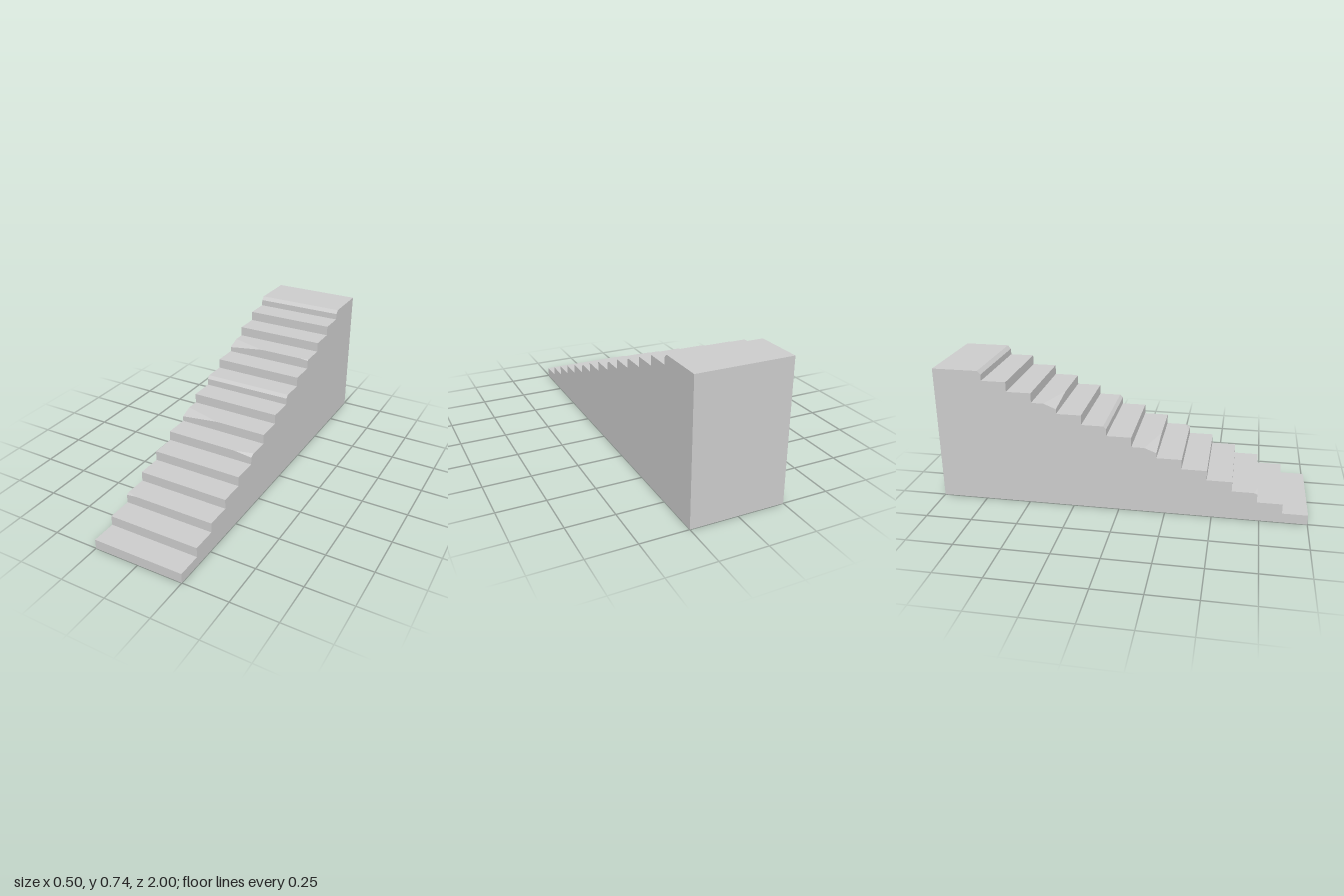
import * as THREE from 'three';

const STEPS = 14, RISE = 0.7444 / STEPS, RUN = 2 / 15, HALF = 0.25;

// Worn front edges: stations along x as [x, depth back, drop down]
const fullBevel = (dz, dy) => [[-HALF, dz, dy], [HALF, dz, dy]];
const worn = {
  2: [[-HALF, 0.018, 0.007], [-0.19, 0, 0], [HALF, 0, 0]],
  5: [[-HALF, 0, 0], [0.15, 0, 0], [HALF, 0.025, 0.012]],
  6: [[-HALF, 0.065, 0.025], [-0.03, 0, 0], [HALF, 0, 0]],
  8: fullBevel(0.016, 0.016),
  10: [[-HALF, 0.067, 0.027], [-0.04, 0, 0], [0.2, 0, 0], [HALF, 0.012, 0.005]],
  13: fullBevel(0.018, 0.019),
};

// One step: a column from the ground to its tread, lofted along x, without hidden inner walls
function stepGeometry(i) {
  const front = 1 - i * RUN;
  const last = i === STEPS - 1;
  const back = last ? -1 : front - RUN;
  const top = (i + 1) * RISE;
  const pos = [];
  const tri = (...pts) => pts.forEach((p) => pos.push(p.x, p.y, p.z));
  const sections = (worn[i] || fullBevel(0, 0)).map(([x, dz, dy]) => [
    [0, front], [i * RISE, front], [top - dy, front], [top, front - dz], [top, back], [0, back],
  ].map(([y, z]) => new THREE.Vector3(x, y, z)));

  // riser, bevel, tread, back wall (last step only) and underside
  const strips = last ? [1, 2, 3, 4, 5] : [1, 2, 3, 5];
  for (let s = 0; s < sections.length - 1; s++) {
    const a = sections[s], b = sections[s + 1];
    for (const k of strips) {
      const n = (k + 1) % 6;
      if (a[k].distanceTo(a[n]) > 1e-6) tri(a[k], b[n], a[n]);
      if (b[k].distanceTo(b[n]) > 1e-6) tri(a[k], b[k], b[n]);
    }
  }

  // flat side walls
  const l = sections[0], r = sections[sections.length - 1];
  for (let k = 1; k < 5; k++) {
    // fan from the back bottom corner
    if (k < 4 || l[4].y > 0) {
      const m = k - 1;
      tri(l[5], l[m], l[m + 1]);
      tri(r[5], r[m + 1], r[m]);
    }
  }

  const geo = new THREE.BufferGeometry();
  geo.setAttribute('position', new THREE.Float32BufferAttribute(pos, 3));
  geo.computeVertexNormals();
  return geo;
}

export function createModel() {
  const group = new THREE.Group();
  group.name = 'staircase';
  const stone = new THREE.MeshStandardMaterial({ color: 0xcccccc, flatShading: true });
  for (let i = 0; i < STEPS; i++) {
    const step = new THREE.Mesh(stepGeometry(i), stone);
    step.name = i === STEPS - 1 ? 'landing' : `step${i + 1}`;
    group.add(step);
  }
  return group;
}
